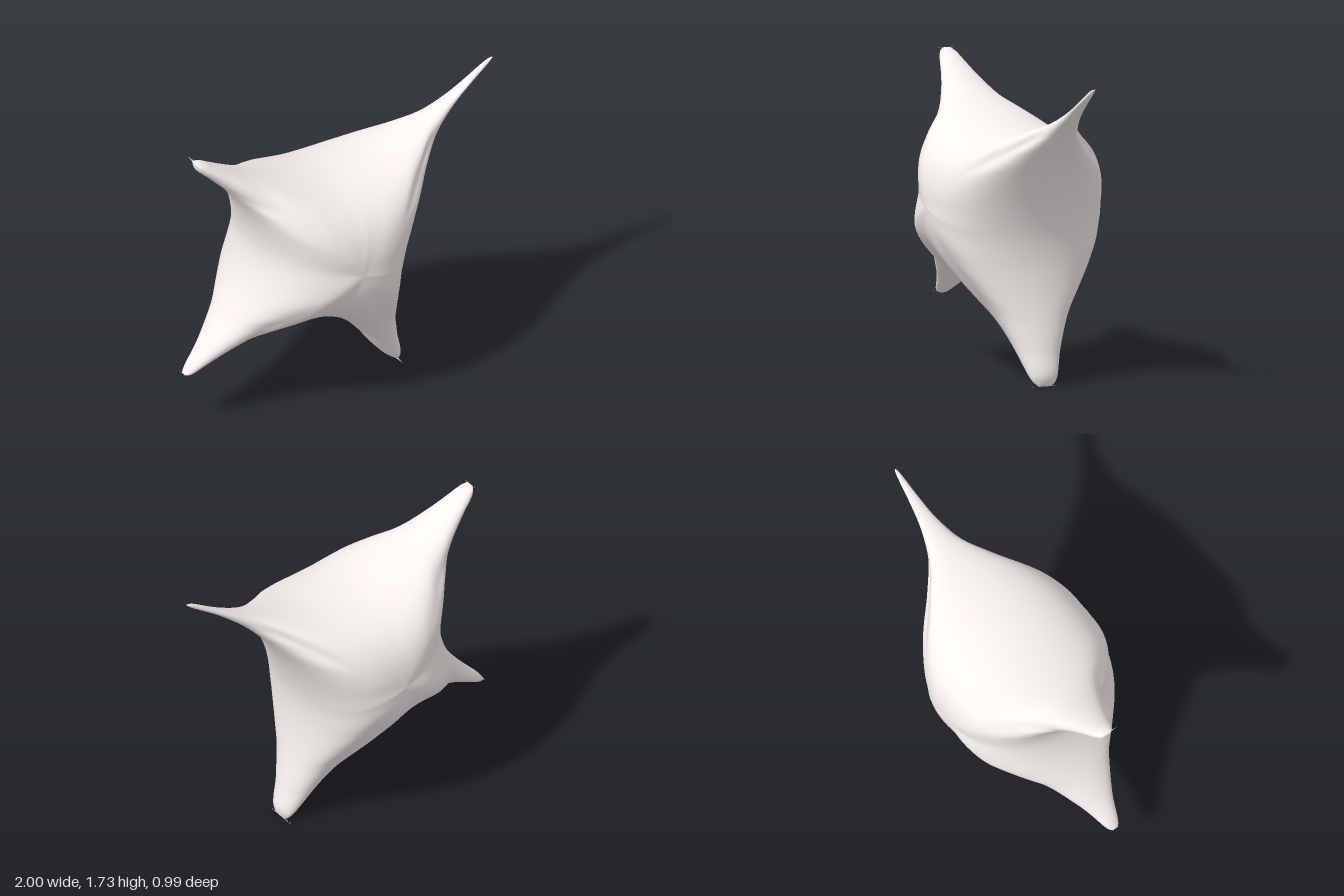
import * as THREE from 'three';
import { mergeVertices } from 'three/addons/utils/BufferGeometryUtils.js';

// Outline of the star, counter-clockwise: from each valley out to a tip and back
const outline = [
  [-0.05, 1.384], [-0.2, 1.402], [-0.4, 1.456], [-0.6, 1.538], [-0.8, 1.652], [-0.89, 1.703],
  [-0.924, 1.705], [-0.925, 1.67], [-0.85, 1.59], [-0.74, 1.475], [-0.655, 1.35], [-0.605, 1.22],
  [-0.585, 1.08], [-0.6, 0.97], [-0.65, 0.83], [-0.735, 0.68], [-0.85, 0.53], [-0.98, 0.385],
  [-0.998, 0.35], [-0.97, 0.343], [-0.9, 0.375], [-0.75, 0.465], [-0.6, 0.54], [-0.45, 0.576],
  [-0.3, 0.567], [-0.15, 0.51], [0, 0.395], [0.12, 0.265], [0.22, 0.13], [0.31, 0.03],
  [0.36, 0.003], [0.382, 0.05], [0.35, 0.2], [0.305, 0.4], [0.28, 0.57], [0.275, 0.7],
  [0.29, 0.84], [0.35, 1.03], [0.45, 1.22], [0.6, 1.405], [0.8, 1.58], [0.975, 1.705],
  [0.998, 1.729], [0.965, 1.722], [0.8, 1.62], [0.6, 1.515], [0.4, 1.44], [0.2, 1.395],
];
const HALF = 6; // outline points from a valley to a tip

// Half thickness along the ridge of each arm, from the centre to the tip:
// upper right, lower right, lower left and upper left arm
const ridges = [
  [0.49, 0.478, 0.43, 0.335, 0.215, 0.14, 0.088, 0.06],
  [0.49, 0.478, 0.43, 0.33, 0.215, 0.14, 0.08, 0.05],
  [0.49, 0.475, 0.415, 0.33, 0.235, 0.165, 0.115, 0.09],
  [0.49, 0.478, 0.405, 0.265, 0.13, 0.06, 0.03, 0.018],
];

const ROWS = 60, SIDES = 80, FINE = 40, EDGE_STEPS = 300;
const center = new THREE.Vector3(-0.14, 0.96, 0);

export function createModel() {
  const group = new THREE.Group();
  group.name = 'fourPointedStar';

  const n = outline.length;
  const curve = new THREE.CatmullRomCurve3(outline.map(([x, y]) => new THREE.Vector3(x, y, 0)), true);
  curve.arcLengthDivisions = n * FINE;
  const lengths = curve.getLengths();
  const uAt = i => Math.floor(i / n) + lengths[(i % n) * FINE] / lengths[n * FINE];
  const between = (from, to, f) => curve.getPointAt(THREE.MathUtils.lerp(uAt(from), uAt(to), f) % 1);

  // The four hollow edges, each running from tip to tip
  const edges = ridges.map((_, i) => {
    const from = HALF + i * 2 * HALF;
    return Array.from({ length: EDGE_STEPS + 1 }, (_, s) => between(from, from + 2 * HALF, s / EDGE_STEPS));
  });

  // Distance from a point to an edge
  const distance = (p, edge) => {
    let best = Infinity;
    for (let s = 0; s < EDGE_STEPS; s++) {
      const a = edge[s], dx = edge[s + 1].x - a.x, dy = edge[s + 1].y - a.y;
      const px = p.x - a.x, py = p.y - a.y;
      const t = Math.min(1, Math.max(0, (px * dx + py * dy) / (dx * dx + dy * dy)));
      best = Math.min(best, Math.hypot(px - t * dx, py - t * dy));
    }
    return best;
  };

  // Swelling: zero on the outline, oval across the arms and domed in the middle
  const swell = p => Math.sqrt(edges.reduce((product, edge) => product * distance(p, edge), 1));

  const positions = [], indices = [];
  ridges.forEach((heights, arm) => {
    const start = arm * 2 * HALF, tip = start + HALF, end = tip + HALF;
    const ridge = new THREE.SplineCurve(heights.map((h, i) => new THREE.Vector2(i, h)));
    const reach = between(start, tip, 1).distanceTo(center);
    const base = positions.length / 3;

    // Sections bent round the centre at the root and straight towards the tip
    for (let j = 0; j <= ROWS; j++) {
      const f = 1 - Math.pow(1 - j / ROWS, 1.6);
      const b = between(start, tip, f), a = between(end, tip, f);
      const mid = a.clone().add(b).multiplyScalar(0.5);
      const across = a.clone().sub(b).multiplyScalar(0.5);
      const spine = mid.clone().lerp(center, (1 - f) ** 2);
      const bend = mid.clone().sub(spine);
      const t = Math.min(1, spine.distanceTo(center) / reach);
      const height = ridge.getPoint(t).y * Math.sqrt(1 - f ** 16);
      const scale = j < ROWS ? height / swell(spine) : 0;
      for (let i = 0; i <= SIDES; i++) {
        const phi = (i / SIDES) * Math.PI * 2, c = Math.cos(phi);
        const k = j < ROWS ? (Math.hypot(c, f) - f) / (Math.hypot(1, f) - f) : 0;
        const p = spine.clone().addScaledVector(across, c).addScaledVector(bend, k);
        const side = i % (SIDES / 2) === 0 ? 0 : Math.sign(Math.sin(phi));
        positions.push(p.x, p.y, side * scale * swell(p));
      }
    }
    for (let j = 0; j < ROWS; j++) {
      for (let i = 0; i < SIDES; i++) {
        const p = base + j * (SIDES + 1) + i, q = p + SIDES + 1;
        indices.push(p, p + 1, q, p + 1, q + 1, q);
      }
    }
  });

  // Weld the four arms into one smooth skin
  let geometry = new THREE.BufferGeometry();
  geometry.setAttribute('position', new THREE.Float32BufferAttribute(positions, 3));
  geometry.setIndex(indices);
  geometry = mergeVertices(geometry, 1e-5);
  geometry.computeVertexNormals();

  const body = new THREE.Mesh(geometry, new THREE.MeshStandardMaterial({ color: 0xf7f0ee }));
  body.name = 'starBody';
  group.add(body);
  return group;
}
